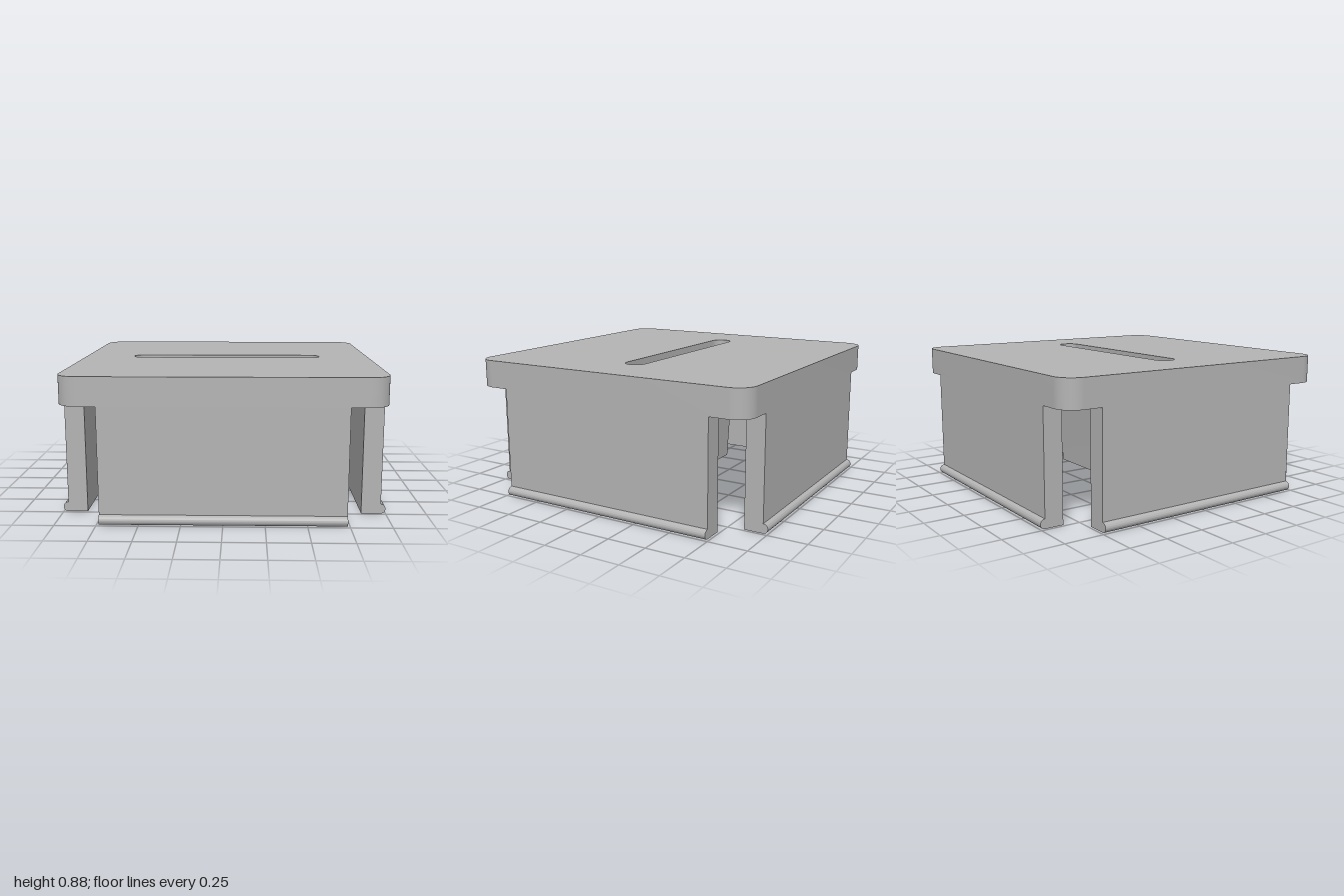
import * as THREE from 'three';
import { toCreasedNormals } from 'three/addons/utils/BufferGeometryUtils.js';

const HALF = 0.97, TOP = 0.885, UNDER = 0.71;

// Extrude a shape with smooth curves and sharp edges
function extrude(shape, depth) {
  const geometry = new THREE.ExtrudeGeometry(shape, { depth, bevelEnabled: false, curveSegments: 16 });
  return toCreasedNormals(geometry, Math.PI / 6);
}

// Extrude a profile drawn as (outward, up), centred along its length, outward = +z
function rail(shape, length) {
  return extrude(shape, length).translate(0, 0, -length / 2).rotateY(-Math.PI / 2);
}

// Square with rounded corners and a rounded slot through the middle
function lidShape() {
  const r = 0.12, c = HALF - r;
  const shape = new THREE.Shape();
  shape.absarc(c, c, r, 0, Math.PI / 2);
  shape.absarc(-c, c, r, Math.PI / 2, Math.PI);
  shape.absarc(-c, -c, r, Math.PI, Math.PI * 1.5);
  shape.absarc(c, -c, r, Math.PI * 1.5, Math.PI * 2);
  const slot = new THREE.Path();
  const sr = 0.068, sx = 0.64 - sr;
  slot.absarc(sx, 0, sr, -Math.PI / 2, Math.PI / 2);
  slot.absarc(-sx, 0, sr, Math.PI / 2, Math.PI * 1.5);
  shape.holes.push(slot);
  return shape;
}

// Wall section with a half-round snap lip at the foot
function wallShape() {
  const shape = new THREE.Shape();
  shape.moveTo(0.85, UNDER);
  shape.lineTo(0.85, 0);
  shape.lineTo(HALF, 0);
  shape.absarc(HALF, 0.03, 0.03, -Math.PI / 2, Math.PI / 2);
  shape.lineTo(HALF, UNDER);
  return shape;
}

// Leaning guide section that flares into the underside of the lid
function guideShape() {
  const shape = new THREE.Shape();
  shape.moveTo(0.068, UNDER);
  shape.lineTo(0.025, 0);
  shape.lineTo(0.065, 0);
  shape.lineTo(0.098, 0.54);
  shape.quadraticCurveTo(0.108, UNDER, 0.27, UNDER);
  return shape;
}

export function createModel() {
  const grey = new THREE.MeshStandardMaterial({ color: 0xb4b4b4 });
  grey.name = 'grey plastic';
  const model = new THREE.Group();
  model.name = 'slottedCap';

  function add(name, geometry, turn = 0) {
    const mesh = new THREE.Mesh(geometry, grey);
    mesh.name = name;
    mesh.rotation.y = turn;
    model.add(mesh);
  }

  // Lid plate
  add('lid', extrude(lidShape(), TOP - UNDER).rotateX(-Math.PI / 2).translate(0, UNDER, 0));

  // Four snap-in walls
  const wall = rail(wallShape(), 1.47);
  ['front', 'left', 'back', 'right'].forEach((side, i) => add(side + 'Wall', wall, i * Math.PI / 2));

  // Pair of guides below the slot
  const guide = rail(guideShape(), 1.15);
  add('frontSlotGuide', guide);
  add('backSlotGuide', guide, Math.PI);

  return model;
}
